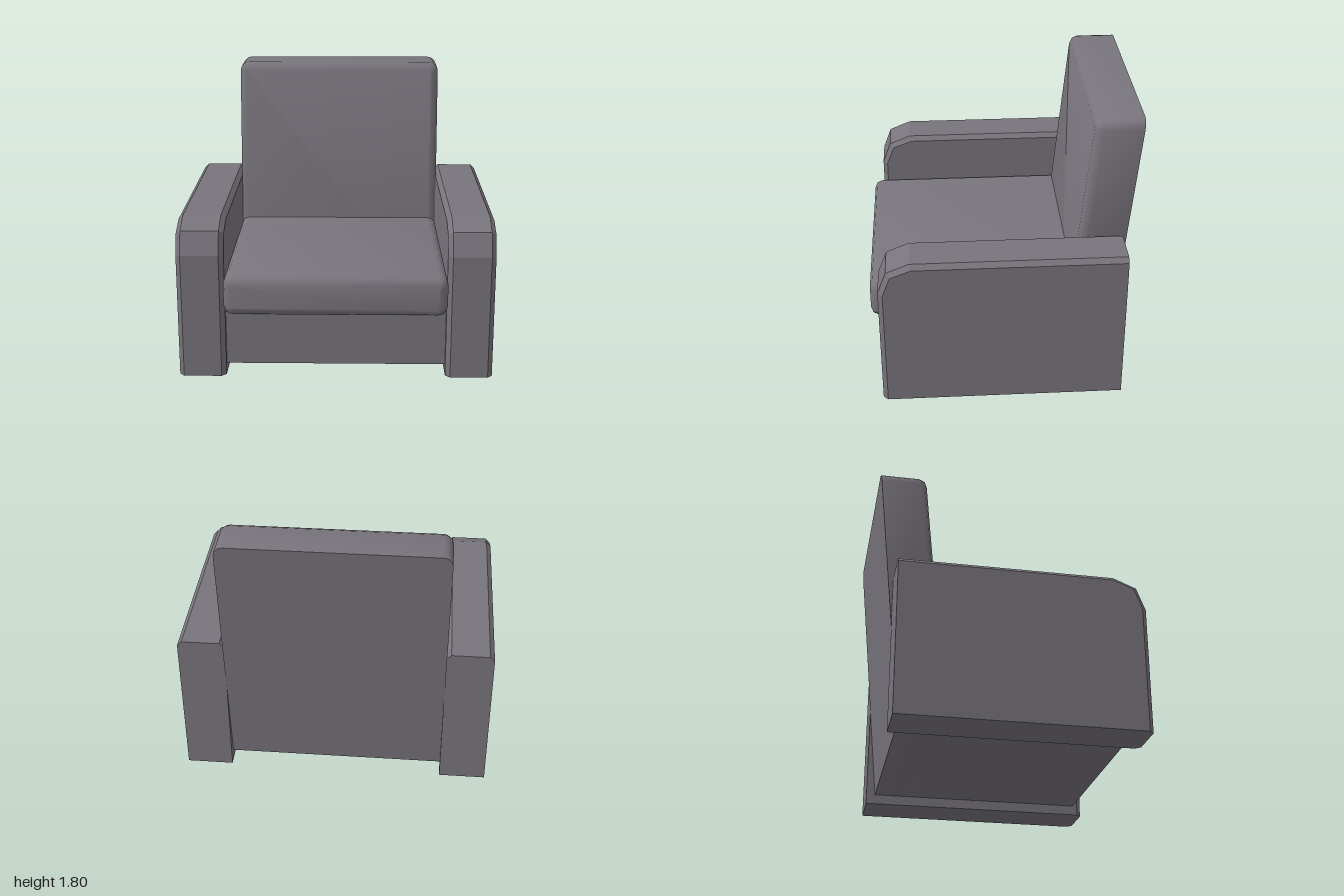
import * as THREE from 'three';
import { toCreasedNormals } from 'three/addons/utils/BufferGeometryUtils.js';

// Skin convex rings ([x, y] points, counter-clockwise, ordered front to back) and cap both ends
function loft(rings, crease) {
  const n = rings[0].points.length;
  const pos = [];
  const idx = [];
  for (const { points, z } of rings) for (const [x, y] of points) pos.push(x, y, z);
  for (let i = 0; i < rings.length - 1; i++) {
    for (let j = 0; j < n; j++) {
      const a = i * n + j, b = i * n + (j + 1) % n;
      idx.push(a, a + n, b + n, a, b + n, b);
    }
  }
  const last = (rings.length - 1) * n;
  for (let j = 1; j < n - 1; j++) {
    idx.push(0, j, j + 1);
    idx.push(last, last + j + 1, last + j);
  }
  const g = new THREE.BufferGeometry();
  g.setAttribute('position', new THREE.Float32BufferAttribute(pos, 3));
  g.setIndex(idx);
  return toCreasedNormals(g, crease);
}

// Rectangle with rounded corners; the bottom corners can stay square
function roundedRect(halfW, y0, y1, r, inset, squareBottom) {
  const x = halfW - inset, lo = squareBottom ? y0 : y0 + inset, hi = y1 - inset;
  const points = [];
  const corners = [[1, lo, 1, -90], [1, hi, -1, 0], [-1, hi, -1, 90], [-1, lo, 1, 180]];
  for (const [sx, cy, sy, start] of corners) {
    const rad = squareBottom && sy > 0 ? 0.002 : r - inset;
    for (let k = 0; k <= 3; k++) {
      const t = THREE.MathUtils.degToRad(start + k * 30);
      points.push([sx * (x - rad) + rad * Math.cos(t), cy + sy * rad + rad * Math.sin(t)]);
    }
  }
  return points;
}

// Padded block with a softened front edge
function cushion(halfW, y0, y1, front, back, squareBottom = false) {
  const steps = [[0.05, front], [0.015, front - 0.015], [0, front - 0.05], [0, back]];
  return loft(
    steps.map(([inset, z]) => ({ points: roundedRect(halfW, y0, y1, 0.06, inset, squareBottom), z })),
    THREE.MathUtils.degToRad(50)
  );
}

export function createModel() {
  const group = new THREE.Group();
  const fabric = new THREE.MeshStandardMaterial({ color: 0x78747c });
  fabric.name = 'greyFabric';

  const add = (name, geometry) => {
    const mesh = new THREE.Mesh(geometry, fabric);
    mesh.name = name;
    group.add(mesh);
    return mesh;
  };

  // Armrests: side profile chamfered along the front and top only
  const outer = [[-0.75, 0], [0.79, 0], [0.79, 0.81], [0.735, 0.955], [0.59, 1.015], [-0.75, 1.015]];
  const inner = [[-0.75, 0], [0.76, 0], [0.76, 0.805], [0.71, 0.935], [0.58, 0.985], [-0.75, 0.985]];
  const armGeometry = loft([
    { points: inner, z: 0.15 },
    { points: outer, z: 0.12 },
    { points: outer, z: -0.12 },
    { points: inner, z: -0.15 },
  ], 0.1);
  armGeometry.rotateY(-Math.PI / 2);
  add('leftArmrest', armGeometry).position.x = 0.85;
  add('rightArmrest', armGeometry).position.x = -0.85;

  // Base under the seat
  const base = new THREE.BoxGeometry(1.4, 0.385, 1.33);
  base.translate(0, 0.2575, 0.065);
  add('base', base);

  // Seat cushion
  add('seatCushion', cushion(0.703, 0.43, 0.69, 0.855, -0.6));

  // Backrest, sheared so that it leans back and reaches down to the base
  const back = cushion(0.703, 0.065, 1.8, 0, -0.3, true);
  const p = back.attributes.position;
  for (let i = 0; i < p.count; i++) {
    p.setZ(i, p.getZ(i) - 0.45 - 0.095 * (p.getY(i) - 0.69));
  }
  add('backrest', toCreasedNormals(back, THREE.MathUtils.degToRad(50)));

  return group;
}
